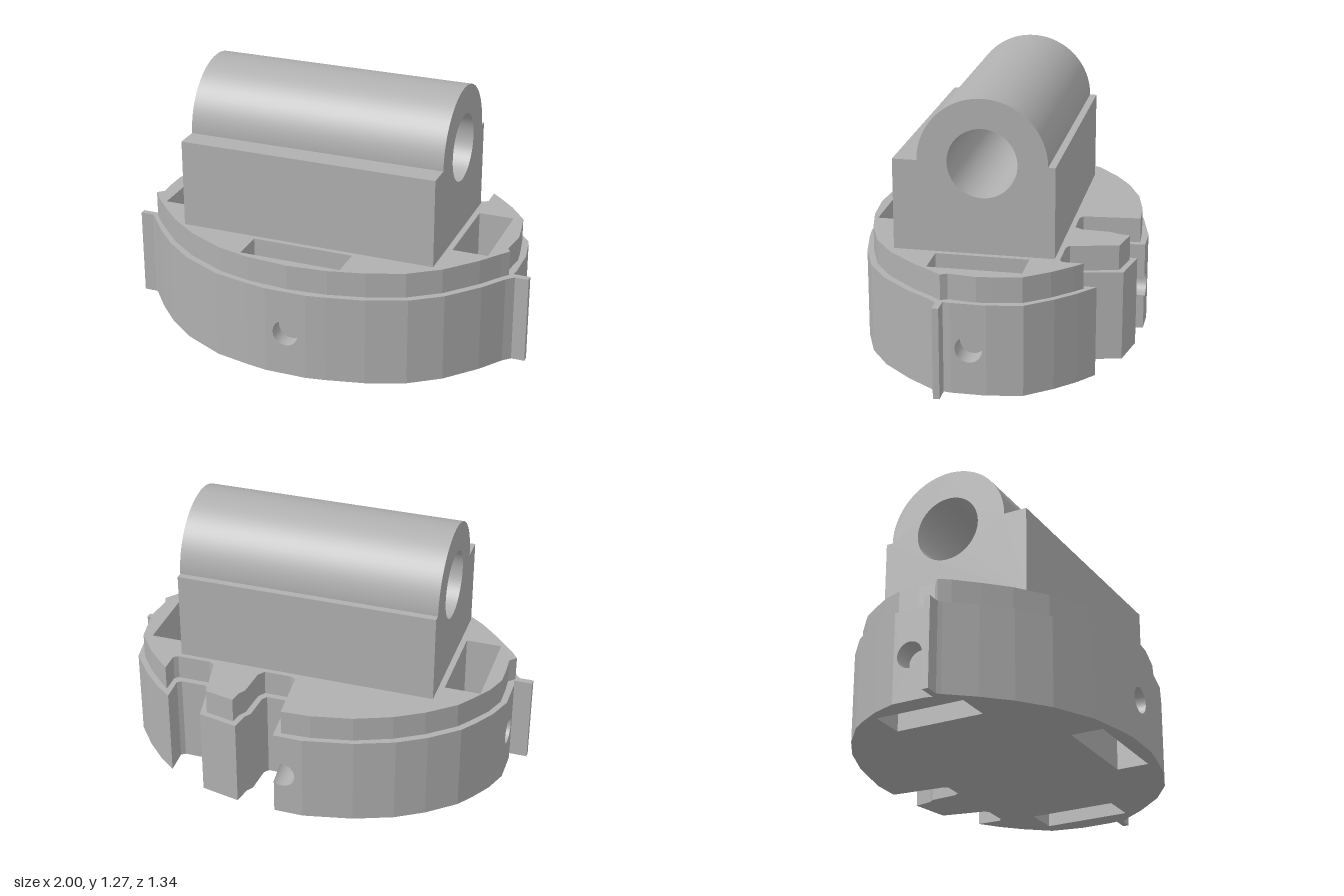
import * as THREE from 'three';
import { mergeGeometries } from 'three/addons/utils/BufferGeometryUtils.js';

const STEP = 0.43, TOP = 0.55;          // ledge height and base top
const PORT_Y = 0.215, PORT_R = 0.062;   // round side ports

// Plan outlines as [x, z], running back, left-hand side, front, right-hand side, notches
const OUTER = [
  [0.04, -0.67], [-0.1, -0.67], [-0.33, -0.62], [-0.51, -0.55], [-0.64, -0.47], [-0.77, -0.36],
  [-0.82, -0.29], [-0.88, -0.19], [-0.92, -0.08], [-0.92, 0.08], [-0.91, 0.115], [-1, 0.115],
  [-1, 0.145], [-0.935, 0.145], [-0.92, 0.16], [-0.82, 0.285], [-0.71, 0.4], [-0.57, 0.51],
  [-0.37, 0.61], [-0.2, 0.648], [-0.1, 0.665], [0.1, 0.665], [0.19, 0.65], [0.37, 0.61],
  [0.55, 0.54], [0.69, 0.44], [0.82, 0.295], [0.9, 0.18], [0.935, 0.145], [1, 0.145],
  [1, 0.115], [0.92, 0.115], [0.925, 0.08], [0.925, -0.08], [0.895, -0.24], [0.8, -0.36],
  [0.71, -0.45], [0.62, -0.52], [0.625, -0.4], [0.605, -0.385], [0.485, -0.385], [0.465, -0.4],
  [0.42, -0.615], [0.23, -0.655], [0.215, -0.57], [0.195, -0.54], [0.187, -0.41], [0.17, -0.385],
  [0.08, -0.385], [0.065, -0.4],
];
const INNER = [
  [0.01, -0.642], [-0.13, -0.635], [-0.32, -0.595], [-0.49, -0.525], [-0.62, -0.445], [-0.745, -0.34],
  [-0.795, -0.27], [-0.855, -0.175], [-0.89, -0.08], [-0.89, 0.02], [-0.885, 0.1], [-0.915, 0.13],
  [-0.88, 0.18], [-0.79, 0.28], [-0.69, 0.38], [-0.55, 0.485], [-0.36, 0.58], [-0.2, 0.62],
  [0, 0.637], [0.19, 0.62], [0.36, 0.58], [0.53, 0.515], [0.67, 0.415], [0.8, 0.27],
  [0.87, 0.17], [0.902, 0.13], [0.885, 0.1], [0.9, -0.03], [0.89, -0.1], [0.865, -0.23],
  [0.78, -0.34], [0.695, -0.425], [0.65, -0.465], [0.65, -0.37], [0.63, -0.355], [0.47, -0.355],
  [0.442, -0.37], [0.395, -0.59], [0.252, -0.622], [0.243, -0.565], [0.223, -0.53], [0.213, -0.39],
  [0.19, -0.355], [0.06, -0.355], [0.033, -0.37],
];

// Rectangular slots through the base, wound so their walls face inwards
const slot = (x0, x1, z0, z1) => [[x0, z0], [x1, z0], [x1, z1], [x0, z1]];
const SLOTS = [slot(-0.82, -0.65, -0.22, 0.21), slot(0.65, 0.82, -0.22, 0.21), slot(-0.25, 0.24, 0.435, 0.59)];

// Ports running from the outer skin into a slot: [outer point, slot wall point]
const PORTS = [[[0, 0.665], [0, 0.59]], [[-0.92, 0], [-0.82, 0]], [[0.925, 0], [0.82, 0]]];

const toPlan = pts => pts.map(([x, z]) => new THREE.Vector2(x, -z));

// Flat horizontal face with holes, facing up or down
function cap(outline, holes, y, down = false) {
  const shape = new THREE.Shape(toPlan(outline));
  holes.forEach(h => shape.holes.push(new THREE.Path(toPlan(h))));
  const g = new THREE.ShapeGeometry(shape).rotateX(-Math.PI / 2).translate(0, y, 0);
  if (down) {
    g.index.array.reverse();
    g.attributes.normal.array.forEach((v, i, arr) => { arr[i] = -v; });
  }
  return g;
}

// Stands a flat shape upright along the line a-b
function stand(shape, a, b) {
  return new THREE.ShapeGeometry(shape, 32)
    .rotateY(Math.atan2(a[1] - b[1], b[0] - a[0])).translate(a[0], 0, a[1]);
}

// One wall facet, pierced wherever a port meets it
function wall(a, b, y0, y1) {
  const dx = b[0] - a[0], dz = b[1] - a[1], len = Math.hypot(dx, dz);
  const shape = new THREE.Shape([[0, y0], [len, y0], [len, y1], [0, y1]].map(p => new THREE.Vector2(...p)));
  for (const [px, pz] of PORTS.flat()) {
    const u = ((px - a[0]) * dx + (pz - a[1]) * dz) / len;
    const off = Math.abs((px - a[0]) * dz - (pz - a[1]) * dx) / len;
    if (off < 0.002 && u > PORT_R && u < len - PORT_R) {
      shape.holes.push(new THREE.Path().absarc(u, PORT_Y, PORT_R, 0, Math.PI * 2, true));
    }
  }
  return stand(shape, a, b);
}

const walls = (pts, y0, y1) => pts.map((p, i) => wall(p, pts[(i + 1) % pts.length], y0, y1));

// The back port breaks out through the notch wall, so both facets are cut open
function backPortWalls() {
  const corner = OUTER[0], next = OUTER[1], last = OUTER[OUTER.length - 1];
  const open = Math.acos(corner[0] / PORT_R);
  const len = corner[0] - next[0];
  const back = new THREE.Shape();
  back.moveTo(0, 0).lineTo(len, 0).lineTo(len, STEP).lineTo(0, STEP);
  back.absarc(corner[0], PORT_Y, PORT_R, Math.PI - open, open - Math.PI, true);

  const side = Math.hypot(last[0] - corner[0], last[1] - corner[1]);
  const notch = new THREE.Shape().moveTo(0, 0).lineTo(side, 0);
  for (let i = 0; i <= 12; i++) {
    const t = open * (i / 6 - 1), x = PORT_R * Math.cos(t);
    notch.lineTo(side * (1 - (x - corner[0]) / (last[0] - corner[0])), PORT_Y + PORT_R * Math.sin(t));
  }
  notch.lineTo(side, STEP).lineTo(0, STEP);
  return [stand(back, corner, next), stand(notch, last, corner)];
}

// Open tube between two plan points
function tunnel([x0, z0], [x1, z1]) {
  const len = Math.hypot(x1 - x0, z1 - z0);
  return new THREE.CylinderGeometry(PORT_R, PORT_R, len, 48, 1, true)
    .rotateX(Math.PI / 2).rotateY(Math.atan2(x1 - x0, z1 - z0))
    .translate((x0 + x1) / 2, PORT_Y, (z0 + z1) / 2);
}

// Blind back port, trimmed to the slanted notch wall
function backTunnel() {
  const [cx, cz] = OUTER[0], [lx, lz] = OUTER[OUTER.length - 1], end = -0.37;
  const tube = tunnel([0, cz], [0, end]);
  const pos = tube.attributes.position;
  for (let i = 0; i < pos.count; i++) {
    if (pos.getZ(i) < -0.5 && pos.getX(i) > cx) {
      pos.setZ(i, cz + (pos.getX(i) - cx) / (lx - cx) * (lz - cz));
    }
  }
  const floor = new THREE.CircleGeometry(PORT_R, 48).rotateY(Math.PI).translate(0, PORT_Y, end);
  return mergeGeometries([tube, floor]);
}

export function createModel() {
  const model = new THREE.Group();
  const grey = new THREE.MeshStandardMaterial({ color: 0xb0b0b0, side: THREE.DoubleSide });
  grey.name = 'plain grey';
  const add = (name, geometry) => {
    const mesh = new THREE.Mesh(geometry, grey);
    mesh.name = name;
    model.add(mesh);
  };

  // Lower base with ears, notches and ports
  add('lowerBase', mergeGeometries([
    cap(OUTER, SLOTS, 0, true),
    cap(OUTER, [INNER], STEP),
    ...walls(OUTER, 0, STEP).slice(1, -1),
    ...backPortWalls(),
  ]));

  // Raised lip set in from the base edge
  add('upperLip', mergeGeometries([cap(INNER, SLOTS, TOP), ...walls(INNER, STEP, TOP)]));

  // Slot linings and round ports
  SLOTS.forEach(s => add('slotLining', mergeGeometries(walls(s, 0, TOP))));
  PORTS.forEach(([a, b]) => add('portTunnel', tunnel(a, b)));
  add('backPortTunnel', backTunnel());

  // Bored bearing block with an arched top
  const axis = 0.975;
  const profile = new THREE.Shape();
  profile.moveTo(-0.41, TOP).lineTo(0.33, TOP).lineTo(0.33, axis).lineTo(0.297, axis);
  profile.absarc(0, axis, 0.297, 0, Math.PI, false);
  profile.lineTo(-0.41, axis);
  profile.holes.push(new THREE.Path().absarc(0, axis, 0.16, 0, Math.PI * 2, true));
  add('bearingBlock', new THREE.ExtrudeGeometry(profile, { depth: 1.244, bevelEnabled: false, curveSegments: 64 })
    .rotateY(Math.PI / 2).translate(-0.622, 0, 0));

  return model;
}
